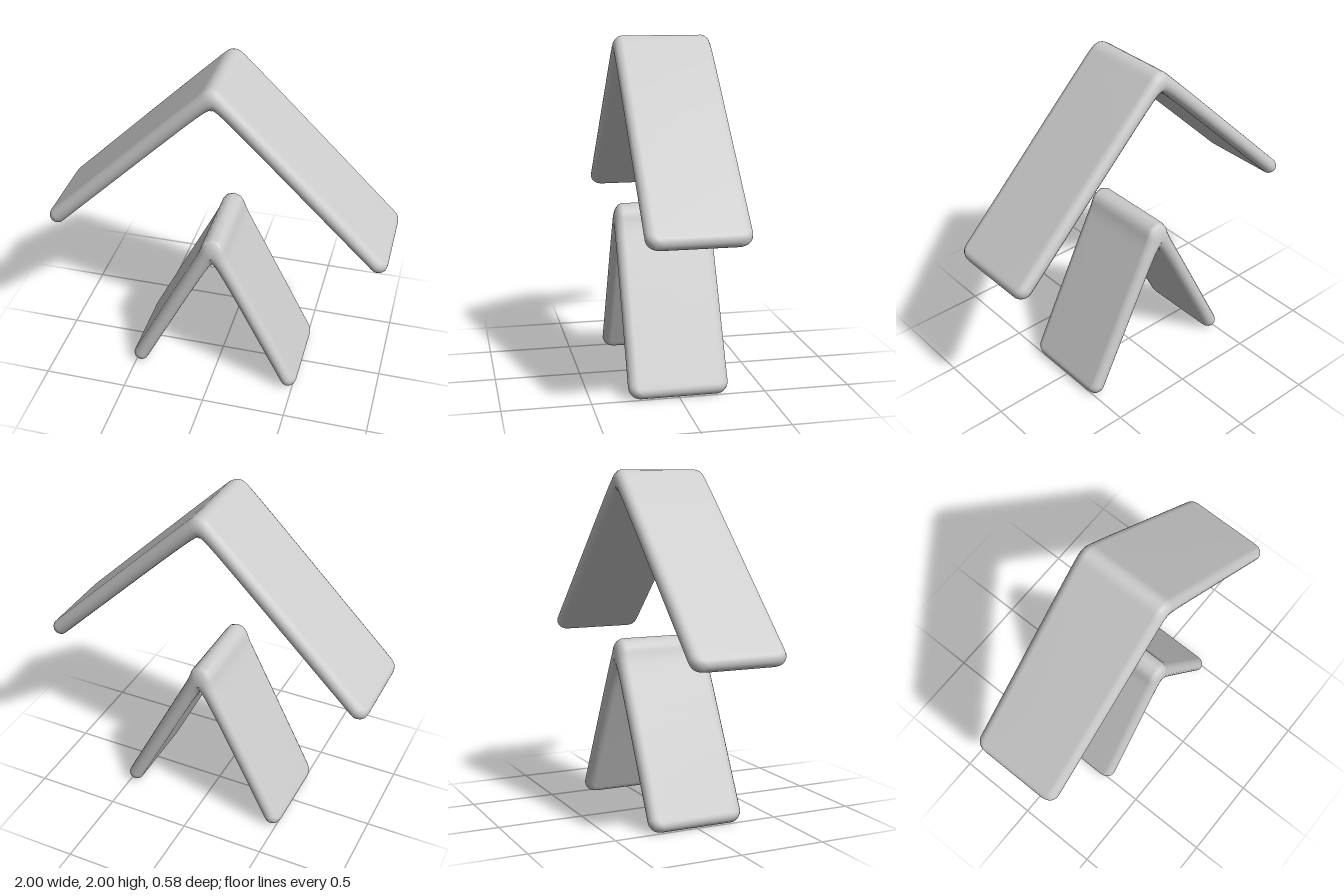
import * as THREE from 'three';
import { mergeVertices } from 'three/addons/utils/BufferGeometryUtils.js';

// Bent slab: rounded sections swept along y = apex - slope * sqrt(x^2 + bend^2)
function chevronGeometry({ apex, slope, bend, halfHeight, tipX, halfDepth }) {
  const corner = 0.07, edge = 0.05, arc = 8;
  const cos = 1 / Math.hypot(1, slope);
  const thickness = halfHeight * cos;

  // Stations on the +x arm, as x and distance from the tip
  const half = [];
  const inner = tipX - corner * cos;
  const uMax = Math.asinh(inner / bend);
  for (let i = 0; i <= 16; i++) {
    const x = bend * Math.sinh(uMax * i / 16);
    half.push([x, (tipX - x) / cos]);
  }
  for (let i = 9; i >= 0; i--) {
    const s = corner * (1 - Math.cos(Math.PI / 2 * i / 10));
    half.push([tipX - s * cos, s]);
  }
  const stations = [...half.slice(1).reverse().map(([x, s]) => [-x, s]), ...half];

  // Quarter-round falloff towards the tip
  const round = (s, r) => (s >= r ? 1 : Math.sqrt(Math.max(0, 1 - (1 - s / r) ** 2)));
  const positions = [], indices = [];
  const n = 2 * (arc + 1);
  for (const [x, s] of stations) {
    const root = Math.hypot(x, bend);
    const y = apex - slope * root;
    const grad = -slope * x / root;
    const len = Math.hypot(1, grad);
    const t = halfHeight / len * round(s, thickness);
    const depth = halfDepth - corner * (1 - round(s, corner));
    for (let side = 0; side < 2; side++) {
      for (let k = 0; k <= arc; k++) {
        const a = -Math.PI / 2 + Math.PI * (side + k / arc);
        const z = (side ? -1 : 1) * (depth - edge) + edge * Math.cos(a);
        const v = t * Math.sin(a);
        positions.push(x - v * grad / len, y + v / len, z);
      }
    }
  }
  for (let i = 0; i < stations.length - 1; i++) {
    for (let j = 0; j < n; j++) {
      const a = i * n + j, d = i * n + (j + 1) % n;
      indices.push(a, a + n, d, a + n, d + n, d);
    }
  }
  let geometry = new THREE.BufferGeometry();
  geometry.setAttribute('position', new THREE.Float32BufferAttribute(positions, 3));
  geometry.setIndex(indices);
  geometry = mergeVertices(geometry, 1e-5);
  geometry.computeVertexNormals();
  return geometry;
}

export function createModel() {
  const group = new THREE.Group();
  const grey = new THREE.MeshStandardMaterial({ color: 0xcccccc });
  grey.name = 'light grey';

  // Wide upper roof and steep lower roof
  const parts = {
    upperChevron: { apex: 1.97, slope: 0.993, bend: 0.034, halfHeight: 0.065, tipX: 0.986, halfDepth: 0.283 },
    lowerChevron: { apex: 0.999, slope: 2, bend: 0.033, halfHeight: 0.1, tipX: 0.494, halfDepth: 0.288 },
  };
  for (const [name, options] of Object.entries(parts)) {
    const mesh = new THREE.Mesh(chevronGeometry(options), grey);
    mesh.name = name;
    group.add(mesh);
  }
  return group;
}
